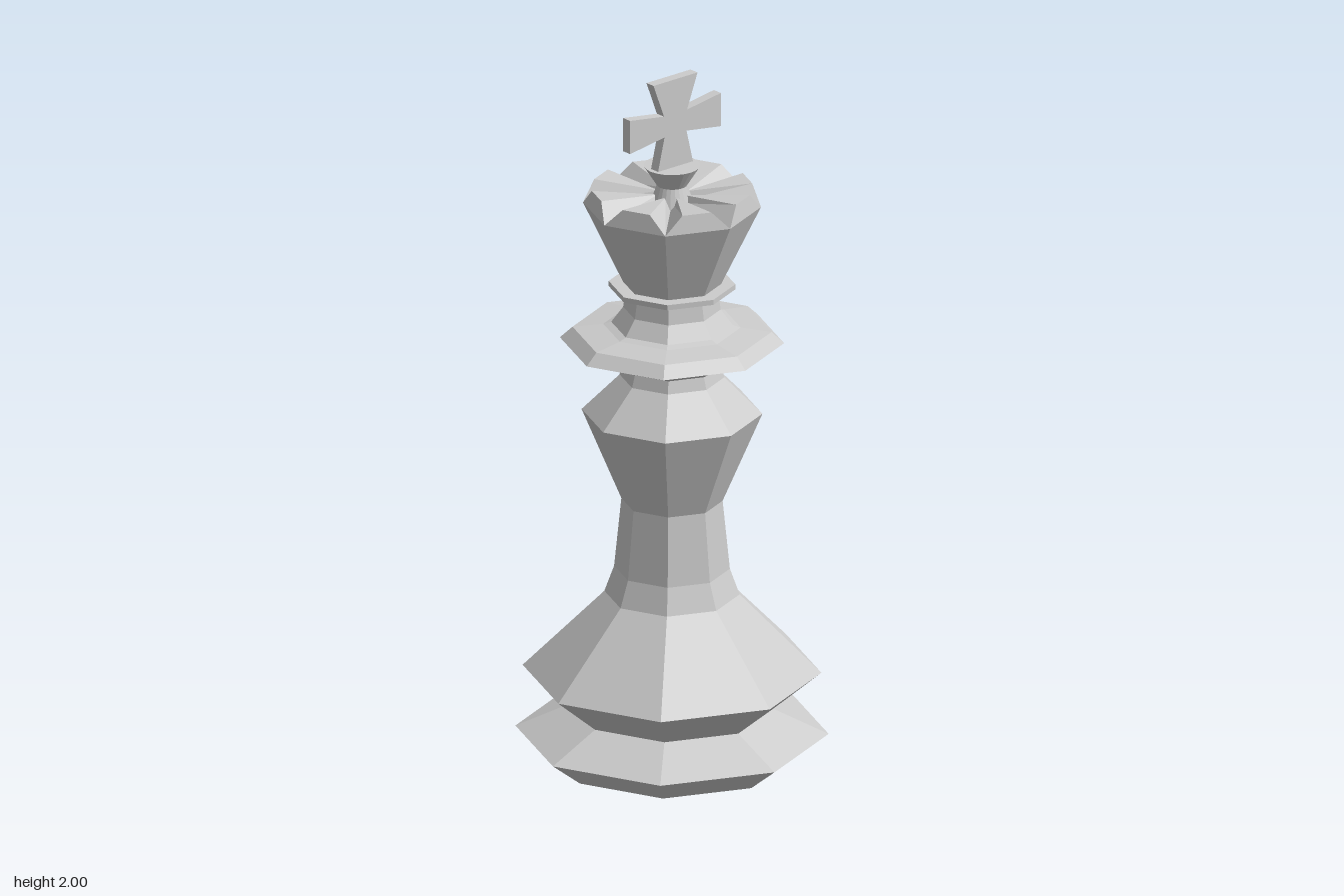
import * as THREE from 'three';

const SIDES = 8;
const material = new THREE.MeshStandardMaterial({ color: 0xcccccc, flatShading: true });

function add(group, name, geometry) {
  const mesh = new THREE.Mesh(geometry, material);
  mesh.name = name;
  group.add(mesh);
  return mesh;
}

// Faceted turning from [radius, height] pairs, listed bottom to top
function turned(points, sides = SIDES) {
  return new THREE.LatheGeometry(points.map(([r, y]) => new THREE.Vector2(r, y)), sides);
}

// Crown segments: one wedge per side, parted by V grooves at the corners
function crownWedges() {
  const at = (r, a, y) => [r * Math.sin(a), y, r * Math.cos(a)];
  const step = (Math.PI * 2) / SIDES;
  const positions = [];
  const quad = (a, b, c, d) => positions.push(...a, ...b, ...c, ...a, ...c, ...d);
  for (let i = 0; i < SIDES; i++) {
    const a0 = i * step, a1 = a0 + step, inset = step * 0.26;
    const centre = [0, 1.63, 0];
    const v0 = at(0.246, a0, 1.625), v1 = at(0.246, a1, 1.625);
    const t0 = at(0.223, a0 + inset, 1.677), t1 = at(0.223, a1 - inset, 1.677);
    const inner = at(0.04, a0 + step / 2, 1.66);
    quad(v0, v1, t1, t0);
    quad(centre, v0, t0, inner);
    quad(v1, centre, inner, t1);
    positions.push(...t0, ...t1, ...inner);
  }
  const geometry = new THREE.BufferGeometry();
  geometry.setAttribute('position', new THREE.Float32BufferAttribute(positions, 3));
  geometry.computeVertexNormals();
  return geometry;
}

// Flared cross, drawn as one quarter-mirrored outline and turned to face sideways
function crossGeometry() {
  const half = [[0.065, 1.735], [0.04, 1.838], [0.165, 1.82], [0.165, 1.918], [0.042, 1.9], [0.08, 2]];
  const outline = [...half, ...half.map(([x, y]) => [-x, y]).reverse()];
  const shape = new THREE.Shape(outline.map(([x, y]) => new THREE.Vector2(x, y)));
  const geometry = new THREE.ExtrudeGeometry(shape, { depth: 0.03, bevelEnabled: false });
  geometry.translate(0, 0, -0.015);
  geometry.rotateY(Math.PI / 2);
  return geometry;
}

export function createModel() {
  const group = new THREE.Group();
  group.name = 'chessKing';

  add(group, 'base', turned([[0, 0], [0.335, 0], [0.433, 0.075], [0.28, 0.145]]));
  add(group, 'stem', turned([
    [0.28, 0.145], [0.413, 0.255], [0.187, 0.48], [0.16, 0.555], [0.14, 0.755],
    [0.25, 1.015], [0.145, 1.12],
  ]));
  add(group, 'collar', turned([
    [0.145, 1.12], [0.135, 1.155], [0.2, 1.195], [0.31, 1.225], [0.275, 1.257],
    [0.19, 1.268], [0.168, 1.275], [0.135, 1.32], [0.125, 1.383],
  ]));
  add(group, 'neckRing', turned([[0.12, 1.38], [0.175, 1.38], [0.175, 1.395], [0.12, 1.395]]));
  add(group, 'head', turned([[0.135, 1.393], [0.246, 1.625]]));
  add(group, 'crown', crownWedges());

  // Round pedestal under the cross
  add(group, 'finial', turned([[0.06, 1.63], [0.042, 1.685], [0.078, 1.742], [0, 1.742]], 24));
  add(group, 'cross', crossGeometry());
  return group;
}
